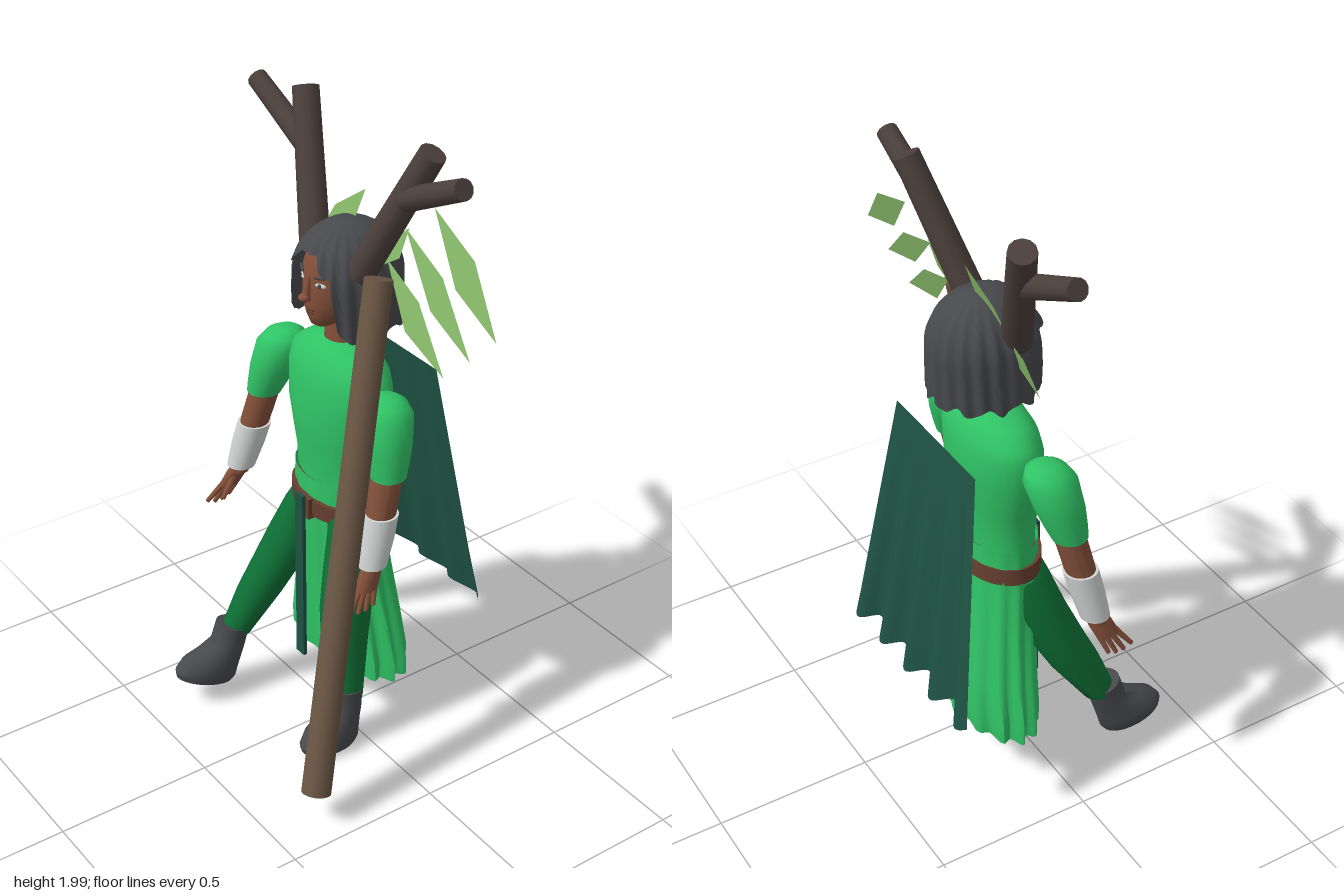
import * as THREE from 'three';
import { toCreasedNormals } from 'three/addons/utils/BufferGeometryUtils.js';

const mat = (name, color, side = THREE.FrontSide) => new THREE.MeshStandardMaterial({ name, color, side });
const { lerp, smoothstep } = THREE.MathUtils;
const CX = -0.085; // body centre line

export function createModel() {
  const root = new THREE.Group();
  root.name = 'forestWanderer';
  const M = {
    tunic: mat('tunicGreen', 0x30c466, THREE.DoubleSide),
    trousers: mat('trouserGreen', 0x0e7036),
    cape: mat('capeTeal', 0x1f5244, THREE.DoubleSide),
    skin: mat('skinBrown', 0x84503a),
    white: mat('bracerWhite', 0xd2d4d4),
    antler: mat('antlerBrown', 0x4b3f3b),
    staff: mat('staffBrown', 0x6a5644),
    grey: mat('charcoal', 0x48494d, THREE.DoubleSide),
    leaf: mat('leafGreen', 0x86b868, THREE.DoubleSide),
    belt: mat('leatherBrown', 0x673f30),
  };

  const add = (name, geo, material, parent = root) => {
    const mesh = new THREE.Mesh(geo, material);
    mesh.name = name;
    parent.add(mesh);
    return mesh;
  };

  // Skin over horizontal ellipses [y, x, z, rx, rz], listed from top to bottom
  function loft(rings, { seg = 24, cap = true, warp, crease = 0.7 } = {}) {
    const pos = [], idx = [], n = rings.length;
    rings.forEach(([y, x, z, rx, rz], i) => {
      for (let j = 0; j < seg; j++) {
        const a = (j / seg) * Math.PI * 2;
        const p = new THREE.Vector3(x + rx * Math.cos(a), y, z + rz * Math.sin(a));
        if (warp) warp(p, a, i / (n - 1));
        pos.push(p.x, p.y, p.z);
      }
    });
    for (let i = 0; i < n - 1; i++) for (let j = 0; j < seg; j++) {
      const a = i * seg + j, b = i * seg + (j + 1) % seg;
      idx.push(a, b, a + seg, b, b + seg, a + seg);
    }
    if (cap) {
      const end = rings[n - 1], top = n * seg, base = (n - 1) * seg;
      pos.push(rings[0][1], rings[0][0], rings[0][2], end[1], end[0], end[2]);
      for (let j = 0; j < seg; j++) {
        const k = (j + 1) % seg;
        idx.push(top, k, j, top + 1, base + j, base + k);
      }
    }
    const g = new THREE.BufferGeometry();
    g.setAttribute('position', new THREE.Float32BufferAttribute(pos, 3));
    g.setIndex(idx);
    return toCreasedNormals(g, crease);
  }

  // Straight round rod from a to b
  function rod(name, a, b, ra, rb, material, parent = root, sides = 12) {
    const A = new THREE.Vector3(...a), B = new THREE.Vector3(...b), d = B.clone().sub(A);
    const m = add(name, new THREE.CylinderGeometry(rb, ra, d.length(), sides), material, parent);
    m.position.copy(A).add(B).multiplyScalar(0.5);
    m.quaternion.setFromUnitVectors(new THREE.Vector3(0, 1, 0), d.normalize());
    return m;
  }

  // Torso, neck and pleated skirt
  add('torso', loft([
    [1.322, CX, -0.08, 0.062, 0.058], [1.29, CX, -0.08, 0.145, 0.085], [1.25, CX, -0.08, 0.2, 0.105],
    [1.2, CX, -0.078, 0.212, 0.116], [1.1, CX, -0.073, 0.2, 0.122], [1.0, CX, -0.07, 0.175, 0.112],
    [0.92, CX, -0.07, 0.16, 0.103], [0.86, CX, -0.07, 0.16, 0.1]], { seg: 32, crease: 1 }), M.tunic);
  add('neck', loft([[1.45, CX, -0.08, 0.05, 0.045], [1.36, CX, -0.08, 0.05, 0.046], [1.3, CX, -0.08, 0.055, 0.05]]), M.skin);
  add('skirt', loft([
    [0.87, CX, -0.07, 0.168, 0.11], [0.8, CX, -0.07, 0.166, 0.11], [0.72, CX, -0.075, 0.172, 0.112],
    [0.55, CX, -0.09, 0.195, 0.113], [0.38, CX, -0.105, 0.225, 0.117], [0.25, CX, -0.112, 0.252, 0.12],
    [0.19, CX, -0.112, 0.25, 0.115]], {
    seg: 72, cap: false, crease: 1.2,
    warp: (p, a, t) => {
      const k = 1 + 0.07 * t * Math.sin(14 * a);
      p.x = CX + (p.x - CX) * k;
      p.z = -0.1 + (p.z + 0.1) * k;
    },
  }), M.tunic);
  add('belt', loft([[0.805, CX, -0.065, 0.172, 0.12], [0.75, CX, -0.067, 0.174, 0.121]], { seg: 32 }), M.belt);
  add('buckle', new THREE.BoxGeometry(0.07, 0.07, 0.02), M.belt).position.set(CX, 0.777, 0.056);
  add('hangingStrap', new THREE.BoxGeometry(0.04, 0.6, 0.012), M.cape).position.set(CX, 0.52, 0.072);

  // Legs and boots
  const legs = {
    right: [[0.8, -0.15, -0.07, 0.07, 0.09], [0.72, -0.18, -0.045, 0.08, 0.095], [0.6, -0.215, 0.0, 0.084, 0.09],
      [0.48, -0.245, 0.055, 0.076, 0.085], [0.38, -0.268, 0.105, 0.068, 0.08], [0.23, -0.297, 0.185, 0.047, 0.055]],
    left: [[0.8, -0.005, -0.07, 0.07, 0.09], [0.72, 0.04, -0.05, 0.08, 0.092], [0.6, 0.068, -0.01, 0.084, 0.088],
      [0.48, 0.082, 0.02, 0.078, 0.082], [0.38, 0.098, 0.035, 0.07, 0.075], [0.18, 0.131, 0.05, 0.048, 0.052]],
  };
  const boots = { right: [-0.297, 0.25, 0.2, -0.3, -0.12], left: [0.13, 0.203, 0.055, -0.1, 0.08] };
  for (const side of ['right', 'left']) {
    add(side + 'Leg', loft(legs[side], { crease: 1.2 }), M.trousers);
    const [x, y, z, pitch, yaw] = boots[side];
    const boot = add(side + 'Boot', loft([
      [0.01, 0, 0, 0.052, 0.055], [-0.06, 0, 0, 0.053, 0.057], [-0.1, 0, 0.02, 0.057, 0.077],
      [-0.135, 0, 0.043, 0.063, 0.1], [-0.17, 0, 0.05, 0.064, 0.108], [-0.19, 0, 0.05, 0.056, 0.1]]), M.grey);
    boot.position.set(x, y, z);
    boot.rotation.set(pitch, yaw, 0, 'YXZ');
  }

  // Arms: shoulder, elbow, wrist and fingertip points
  const arms = {
    right: [[-0.355, 1.19, -0.05], [-0.4, 1.02, -0.015], [-0.458, 0.73, 0.045], [-0.502, 0.585, 0.11]],
    left: [[0.185, 1.19, -0.05], [0.222, 1.02, -0.03], [0.235, 0.73, 0.035], [0.262, 0.585, 0.09]],
  };
  for (const side of ['right', 'left']) {
    const g = new THREE.Group();
    g.name = side + 'Arm';
    root.add(g);
    const [s, e, w, f] = arms[side];
    const ring = (a, b, t, rx, rz = rx) => [lerp(a[1], b[1], t), lerp(a[0], b[0], t), lerp(a[2], b[2], t), rx, rz];
    add('sleeve', loft([ring(s, e, -0.3, 0.035), ring(s, e, -0.2, 0.062), ring(s, e, 0, 0.079), ring(s, e, 0.5, 0.073),
      ring(s, e, 0.85, 0.062), ring(s, e, 1.06, 0.054)], { crease: 1 }), M.tunic, g);
    add('forearm', loft([ring(s, e, 0.9, 0.048), ring(e, w, 0.4, 0.046), ring(e, w, 1.08, 0.03)]), M.skin, g);
    add('bracer', loft([ring(e, w, 0.44, 0.053), ring(e, w, 0.7, 0.052), ring(e, w, 1, 0.045)]), M.white, g);
    add('palm', loft([ring(w, f, -0.05, 0.024, 0.028), ring(w, f, 0.2, 0.023, 0.038), ring(w, f, 0.52, 0.018, 0.038)]), M.skin, g);
    const mid = ring(w, f, 0.45, 0);
    for (let i = 0; i < 4; i++) {
      const o = (i - 1.5) * 0.018;
      rod('finger', [mid[1], mid[0], mid[2] + o], [f[0], f[1] + Math.abs(o) * 0.6, f[2] + o * 1.5], 0.01, 0.007, M.skin, g, 8);
    }
    rod('thumb', [w[0], w[1] - 0.03, w[2] + 0.025], [w[0] + (side === 'right' ? 0.01 : -0.01), w[1] - 0.1, w[2] + 0.08], 0.012, 0.008, M.skin, g, 8);
  }

  // Head and face
  const head = new THREE.Group();
  head.name = 'head';
  root.add(head);
  add('face', loft([
    [1.67, CX, -0.09, 0.04, 0.045], [1.63, CX, -0.075, 0.08, 0.085], [1.57, CX, -0.066, 0.094, 0.1],
    [1.51, CX, -0.063, 0.095, 0.1], [1.46, CX, -0.056, 0.086, 0.094], [1.42, CX, -0.043, 0.064, 0.076],
    [1.39, CX, -0.026, 0.038, 0.048], [1.378, CX, -0.02, 0.018, 0.025]], { crease: 1.5 }), M.skin, head);
  const blob = (name, m, x, y, z, sx, sy, sz, turn = 0, tilt = 0) => {
    const b = add(name, new THREE.SphereGeometry(1, 16, 10), m, head);
    b.position.set(CX + x, y, z);
    b.scale.set(sx, sy, sz);
    b.rotation.set(0, turn, tilt);
  };
  rod('noseBridge', [CX, 1.475, 0.045], [CX, 1.55, 0.032], 0.016, 0.008, M.skin, head, 8);
  blob('noseTip', M.skin, 0, 1.483, 0.05, 0.018, 0.013, 0.018);
  blob('upperLip', M.belt, 0, 1.445, 0.032, 0.026, 0.006, 0.008);
  blob('lowerLip', M.belt, 0, 1.434, 0.03, 0.021, 0.007, 0.008);
  for (const s of [-1, 1]) {
    blob('eye', M.white, s * 0.045, 1.53, 0.024, 0.018, 0.007, 0.005, s * 0.45);
    blob('iris', M.grey, s * 0.045, 1.53, 0.028, 0.007, 0.007, 0.003, s * 0.45);
    blob('brow', M.grey, s * 0.047, 1.555, 0.025, 0.024, 0.005, 0.005, s * 0.45, s * 0.12);
    blob('ear', M.skin, s * 0.096, 1.51, -0.07, 0.012, 0.03, 0.02);
  }

  // Bobbed hair: wavy dome cut high over the face and long at the sides and back
  add('hair', loft(new Array(25).fill([0, 0, 0, 0, 0]), {
    seg: 120, cap: false, crease: 1.1,
    warp: (p, a, t) => {
      const d = Math.abs(Math.atan2(Math.sin(a - Math.PI / 2), Math.cos(a - Math.PI / 2)));
      const end = lerp(1.635 - 0.06 * Math.min(d / 0.6, 1), 1.375, smoothstep(d, 0.66, 0.88)) + 0.012 * Math.sin(11 * a);
      const y = 1.693 - (1.693 - end) * t * t;
      let r = y > 1.52 ? Math.sqrt(Math.max(0, 1 - ((y - 1.52) / 0.173) ** 2)) : 1;
      r *= 1 + 0.035 * Math.min(1, 2 * t) * Math.sin(20 * a + 4 * t);
      const c = Math.cos(a), s = Math.sin(a);
      p.set(CX + 0.15 * r * c, y, -0.105 + (s > 0 ? 0.175 : 0.163) * r * s);
    },
  }), M.grey, head);

  // Forked antlers, mirrored about the body
  for (const [side, s] of [['right', -1], ['left', 1]]) {
    const at = (x, y, z) => [CX + s * x, y, z];
    rod(side + 'Antler', at(0.11, 1.57, -0.065), at(0.302, 1.98, -0.168), 0.046, 0.04, M.antler);
    rod(side + 'AntlerBranch', at(0.225, 1.825, -0.125), at(0.492, 1.955, -0.124), 0.036, 0.031, M.antler);
  }

  // Diamond leaves lying in one slanted plane: base, side, tip, side as x, y
  const leaves = [
    [0.23, 1.825, 0.435, 1.75, 0.593, 1.585, 0.39, 1.655],
    [0.135, 1.735, 0.33, 1.665, 0.515, 1.5, 0.315, 1.565],
    [0.09, 1.63, 0.26, 1.57, 0.432, 1.42, 0.235, 1.475],
    [-0.07, 1.775, -0.085, 1.69, -0.225, 1.6, -0.185, 1.69],
    [-0.175, 1.625, -0.205, 1.525, -0.315, 1.445, -0.28, 1.565],
    [-0.1, 1.53, -0.13, 1.45, -0.22, 1.375, -0.18, 1.48],
    [0.06, 1.53, 0.02, 1.42, -0.095, 1.355, -0.05, 1.45],
    [0.15, 1.74, 0.14, 1.65, 0.03, 1.575, 0.06, 1.66],
  ];
  for (const l of leaves) {
    const pos = [];
    for (let i = 0; i < 8; i += 2) pos.push(l[i], l[i + 1], -0.038 - 0.28 * (l[i + 1] - 1.36));
    const g = new THREE.BufferGeometry();
    g.setAttribute('position', new THREE.Float32BufferAttribute(pos, 3));
    g.setIndex([0, 2, 1, 0, 3, 2]);
    g.computeVertexNormals();
    add('leaf', g, M.leaf);
  }

  // Pleated cape, widening and swinging back towards the hem
  const cape = new THREE.PlaneGeometry(1, 1, 60, 10), cp = cape.attributes.position;
  for (let i = 0; i < cp.count; i++) {
    const u = cp.getX(i) + 0.5, v = 0.5 - cp.getY(i);
    const fold = Math.cos(2 * Math.PI * 4.65 * (u - 0.05));
    cp.setXYZ(i, lerp(lerp(-0.307, 0.137, u), lerp(-0.437, 0.267, u), v),
      lerp(1.245, 0.46 - 0.02 * u - 0.015 * fold, v), lerp(-0.265, -0.375, v) - 0.024 * v * fold);
  }
  cape.computeVertexNormals();
  add('cape', cape, M.cape);

  // Leaning walking staff
  rod('staff', [0.397, 0.12, 0.352], [0.128, 1.6, -0.057], 0.046, 0.043, M.staff, root, 14);
  return root;
}
